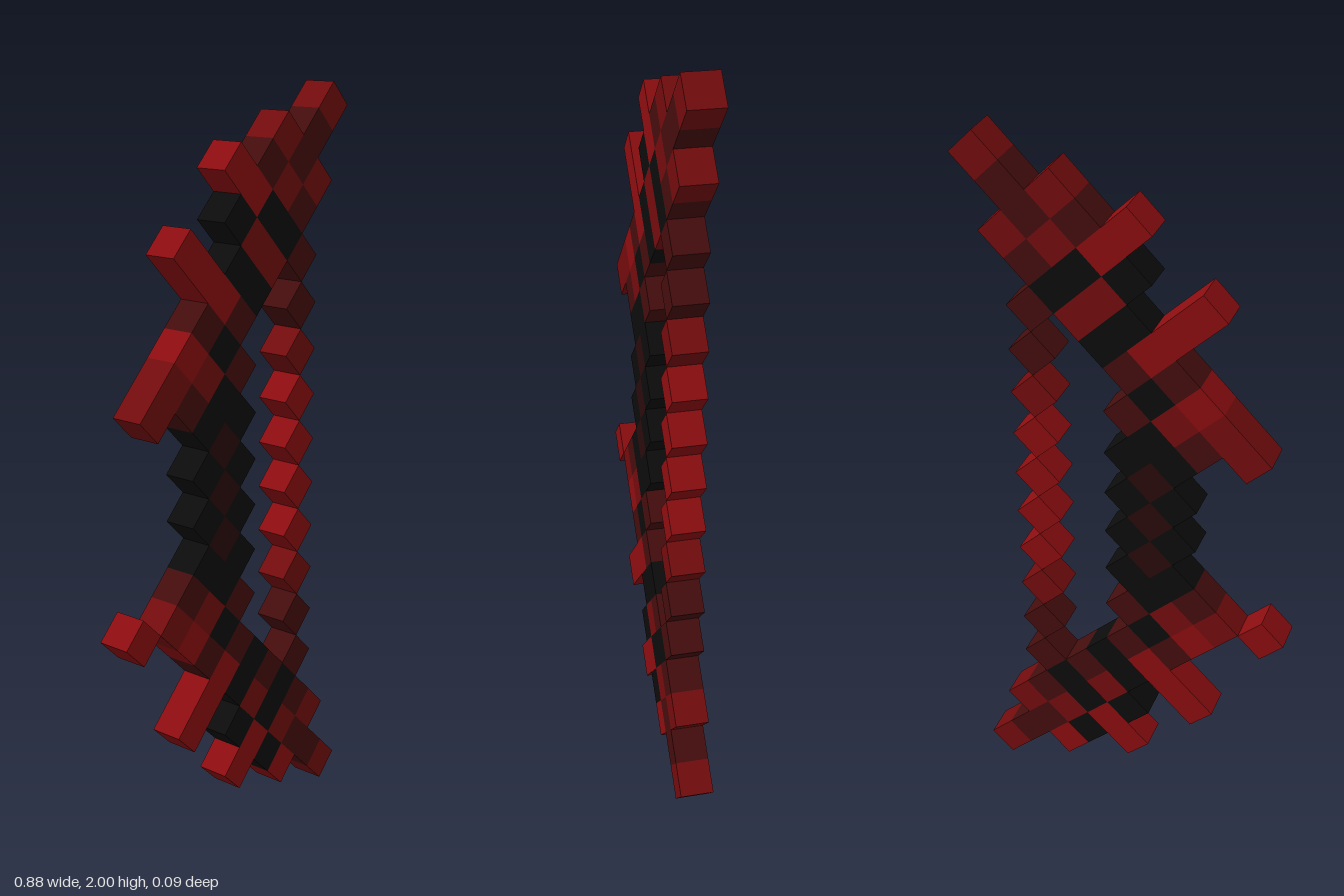
import * as THREE from 'three';
import { mergeGeometries } from 'three/addons/utils/BufferGeometryUtils.js';

const U = 0.0625;            // half diagonal of a cube seen from the front
const S = U * Math.SQRT2;    // cube edge

const colours = { brightRed: 0x8c0d10, midRed: 0x730c0d, darkRed: 0x450d0d, brownRed: 0x290a0b, black: 0x0c0c0c };

// Cubes stand on their edges: [column, row] in steps of U, by part and colour
const parts = {
  upperLimb: {
    brightRed: [[0, 29], [1, 28]],
    midRed: [[6, 31], [3, 30], [3, 28], [5, 28], [1, 26], [2, 25]],
    darkRed: [[5, 30], [4, 29], [2, 29], [4, 27], [0, 23], [-2, 23], [0, 21]],
    black: [[0, 27], [2, 27], [3, 26], [0, 25], [1, 24], [-1, 22]],
  },
  upperSpikes: {
    brightRed: [[-1, 24], [-2, 25], [-3, 26], [-3, 22]],
    midRed: [[-2, 21], [-4, 21], [-5, 20]],
    darkRed: [[-3, 20]],
  },
  grip: {
    black: [[-1, 20], [-2, 19], [0, 19], [-2, 17], [0, 17], [-2, 15], [0, 15], [-2, 13], [0, 13], [-1, 12]],
    brownRed: [[-1, 18], [-1, 16], [-1, 14]],
  },
  lowerLimb: {
    brightRed: [[0, 3], [3, 2], [1, 4]],
    midRed: [[6, 1], [3, 4], [5, 4], [1, 6]],
    darkRed: [[5, 2], [4, 3], [4, 5], [2, 7], [0, 9], [-2, 9], [0, 11]],
    black: [[0, 5], [2, 5], [2, 3], [3, 6], [0, 7], [1, 8], [-1, 10]],
  },
  lowerSpikes: {
    brightRed: [[-1, 8], [-2, 7], [-3, 6], [-3, 10], [-6, 11]],
    midRed: [[-2, 11], [-4, 11]],
    darkRed: [[-3, 12]],
  },
  bowString: {
    brightRed: [[4, 19], [4, 17], [4, 15], [4, 13]],
    midRed: [[4, 21], [4, 11]],
    darkRed: [[4, 25], [4, 23], [4, 9], [4, 7]],
  },
};

export function createModel() {
  const model = new THREE.Group();
  model.name = 'bow';

  const materials = {};
  for (const [name, color] of Object.entries(colours)) {
    materials[name] = new THREE.MeshStandardMaterial({ color });
    materials[name].name = name;
  }

  const filled = new Set();
  for (const part of Object.values(parts))
    for (const cells of Object.values(part)) cells.forEach(([i, j]) => filled.add(`${i},${j}`));

  // Faces of one cube, leaving out sides that touch a neighbour
  const cubeFaces = ([i, j]) => {
    const faces = [0, Math.PI].map((turn) =>
      new THREE.PlaneGeometry(S, S).translate(0, 0, S / 2).rotateY(turn).rotateZ(Math.PI / 4));
    [[1, 1], [-1, 1], [-1, -1], [1, -1]].forEach(([di, dj], k) => {
      if (filled.has(`${i + di},${j + dj}`)) return;
      faces.push(new THREE.PlaneGeometry(S, S).rotateY(Math.PI / 2)
        .translate(S / 2, 0, 0).rotateZ(Math.PI / 4 + k * Math.PI / 2));
    });
    return faces.map((f) => f.translate(i * U, j * U, 0));
  };

  for (const [partName, part] of Object.entries(parts)) {
    const group = new THREE.Group();
    group.name = partName;
    for (const [colour, cells] of Object.entries(part)) {
      const mesh = new THREE.Mesh(mergeGeometries(cells.flatMap(cubeFaces)), materials[colour]);
      mesh.name = `${partName} ${colour} cubes`;
      group.add(mesh);
    }
    model.add(group);
  }
  return model;
}
